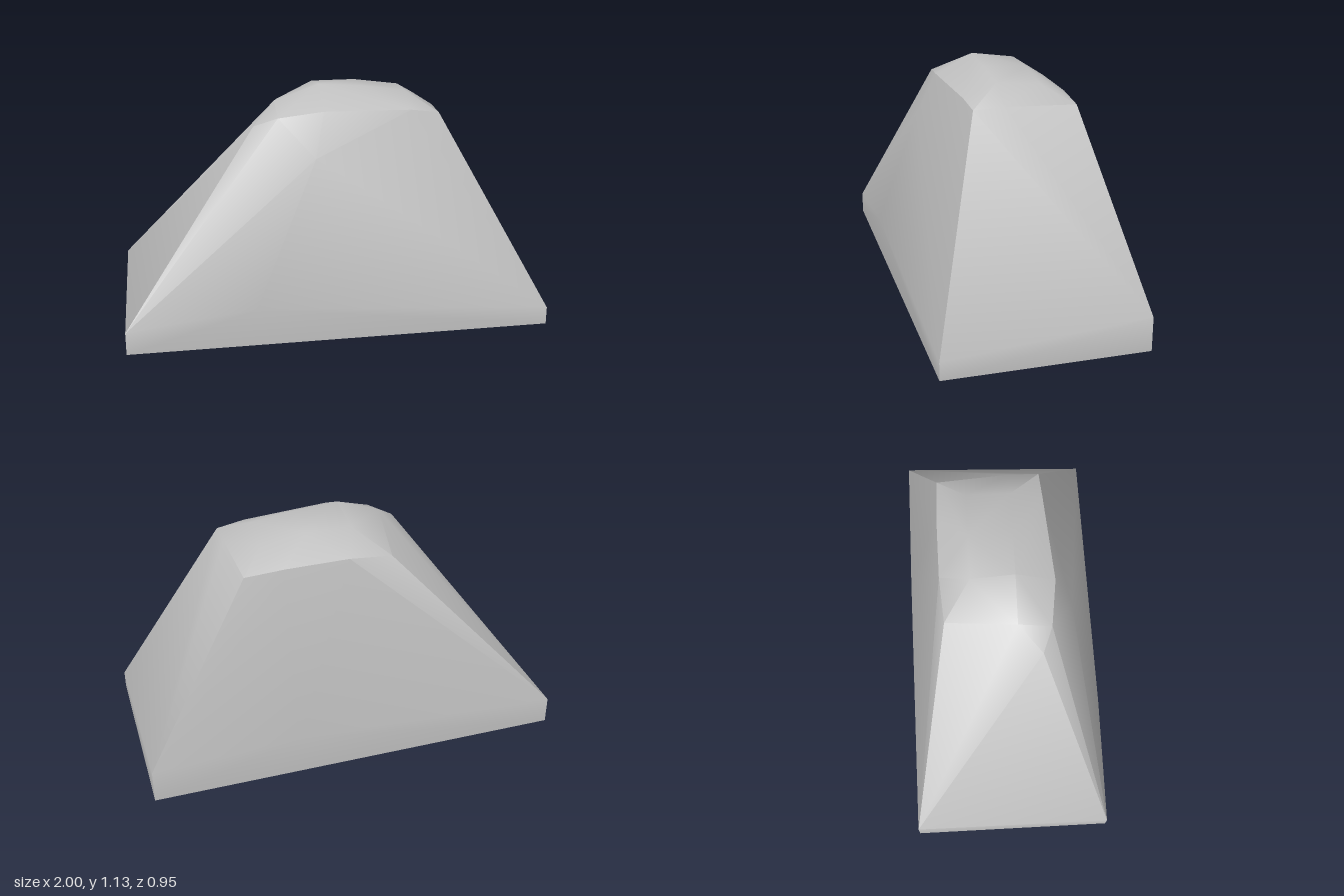
import * as THREE from 'three';
import { ConvexGeometry } from 'three/addons/geometries/ConvexGeometry.js';
import { toCreasedNormals } from 'three/addons/utils/BufferGeometryUtils.js';

export function createModel() {
  const model = new THREE.Group();
  model.name = 'rock';
  const stone = new THREE.MeshStandardMaterial({ color: 0xc0c0c0 });
  stone.name = 'stoneGrey';

  // flat rectangular foot
  const foot = [[-1, 0, 0.475], [1, 0, 0.475], [1, 0, -0.475], [-1, 0, -0.475]];
  // uneven upper edge of the foot, rising a little along front and back
  const band = [
    [-1, 0.107, 0.475], [-0.4, 0.18, 0.475], [1, 0.085, 0.475],
    [1, 0.163, -0.475], [0.3, 0.195, -0.475], [-1, 0.133, -0.475],
  ];
  // swelling of the front slope
  const slope = [[-0.1, 0.84, 0.32]];
  // rim where the slopes meet the cap
  const rim = [
    [-0.37, 0.965, 0.165], [-0.26, 1.01, 0.21], [-0.05, 1.04, 0.237],
    [0.37, 1.025, 0.207], [0.505, 1.005, 0.197], [0.505, 1.01, 0.055],
    [0.49, 0.993, -0.285], [0.3, 1.008, -0.292], [0, 1.01, -0.29], [-0.21, 0.985, -0.275],
  ];
  // rounded cap
  const cap = [
    [-0.26, 1.057, 0.055], [-0.05, 1.13, 0.055], [0.16, 1.113, 0.055], [0.37, 1.085, 0.055],
    [-0.05, 1.1, -0.15], [0.16, 1.1, -0.15], [0.38, 1.07, -0.15],
  ];

  const points = [...foot, ...band, ...slope, ...rim, ...cap].map(p => new THREE.Vector3(...p));
  const geometry = toCreasedNormals(new ConvexGeometry(points), 0.65);
  const body = new THREE.Mesh(geometry, stone);
  body.name = 'rockBody';
  model.add(body);
  return model;
}
